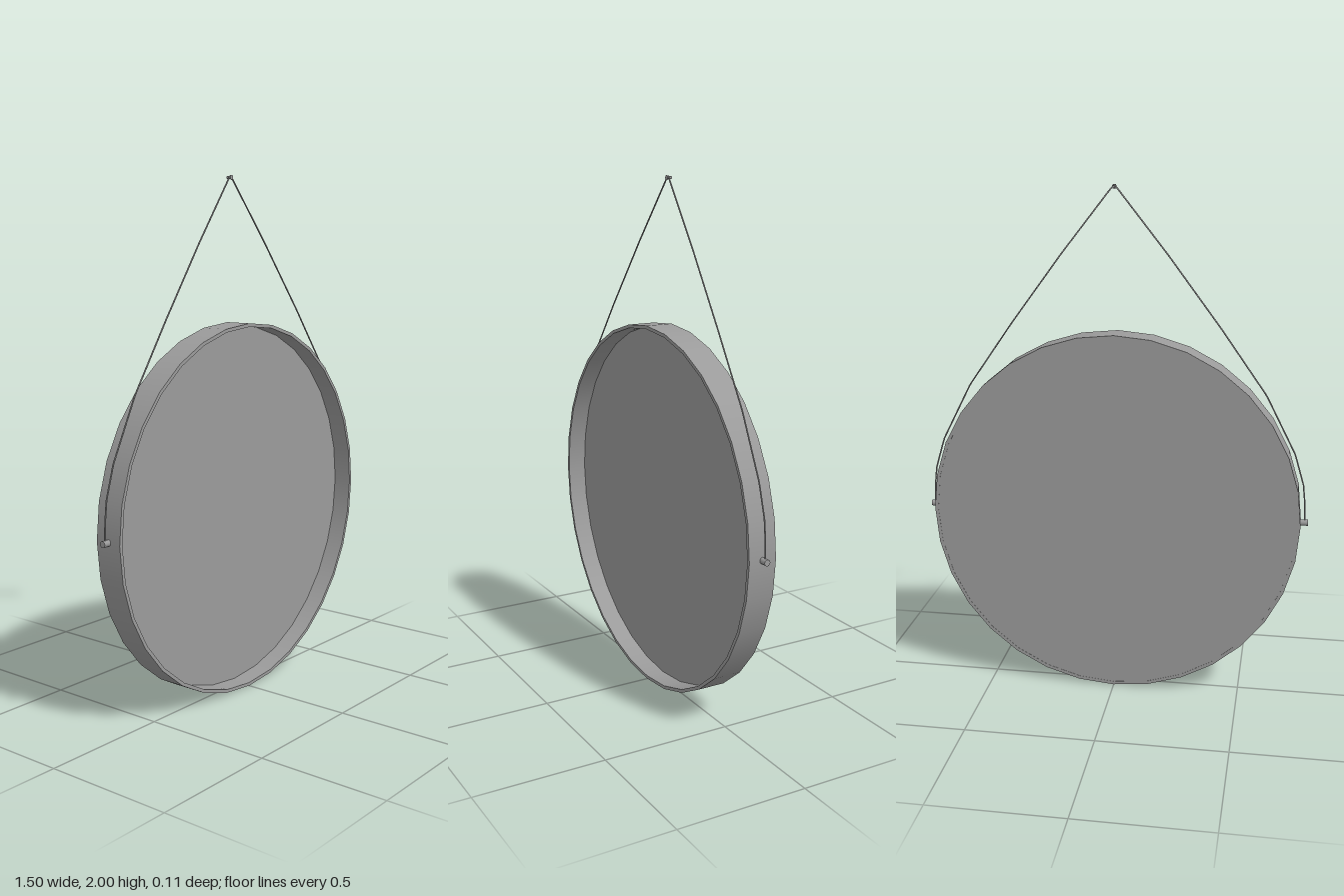
import * as THREE from 'three';

const CENTER_Y = 0.725;

export function createModel() {
  const group = new THREE.Group();
  const material = new THREE.MeshStandardMaterial({ color: 0x9b9b9b });
  const add = (name, geometry, x = 0, y = 0, z = 0) => {
    const mesh = new THREE.Mesh(geometry, material);
    mesh.name = name;
    mesh.position.set(x, y, z);
    group.add(mesh);
  };

  // Hoop: smooth inner and outer walls joined by flat rims
  const OUT = 0.722, INN = 0.709, HALF = 0.055;
  const hoop = {
    frameOuterWall: [[OUT, -HALF], [OUT, HALF]],
    frameInnerWall: [[INN, HALF], [INN, -HALF]],
    frameFrontRim: [[OUT, HALF], [INN, HALF]],
    frameBackRim: [[INN, -HALF], [OUT, -HALF]],
  };
  for (const [name, profile] of Object.entries(hoop)) {
    const line = profile.map(([r, z]) => new THREE.Vector2(r, z));
    add(name, new THREE.LatheGeometry(line, 32).rotateX(Math.PI / 2), 0, CENTER_Y, 0);
  }

  // Glass disc, set deep from the front and almost flush with the back
  add('mirrorPanel', new THREE.CylinderGeometry(INN, INN, 0.034, 32).rotateX(Math.PI / 2), 0, CENTER_Y, -0.037);

  // Hanging cord: over the nail, straight between its bends
  const side = [
    [0.737, 0.73, 0], [0.735, 0.8, 0], [0.726, 0.88, 0], [0.69, 1.0, 0],
    [0.575, 1.225, -0.003], [0.4, 1.475, -0.013], [0.2, 1.745, -0.026], [0.006, 1.992, -0.038],
  ].map((p) => new THREE.Vector3(...p));
  const otherSide = side.map((p) => new THREE.Vector3(-p.x, p.y, p.z)).reverse();
  const points = [...side, new THREE.Vector3(0, 1.997, -0.039), ...otherSide];
  const path = new THREE.CurvePath();
  for (let i = 1; i < points.length; i++) path.add(new THREE.LineCurve3(points[i - 1], points[i]));
  add('hangingCord', new THREE.TubeGeometry(path, 160, 0.003, 6));

  // Side pegs holding the cord
  for (const s of [1, -1]) {
    add(s > 0 ? 'leftPeg' : 'rightPeg',
      new THREE.CylinderGeometry(0.012, 0.012, 0.035, 12).rotateZ(Math.PI / 2), s * 0.7325, CENTER_Y + 0.003, 0);
  }

  // Wall nail at the top
  add('nail', new THREE.CylinderGeometry(0.005, 0.005, 0.02, 10).rotateX(Math.PI / 2), 0, 1.991, -0.043);
  add('nailHead', new THREE.CylinderGeometry(0.009, 0.009, 0.003, 10).rotateX(Math.PI / 2), 0, 1.991, -0.033);

  return group;
}
